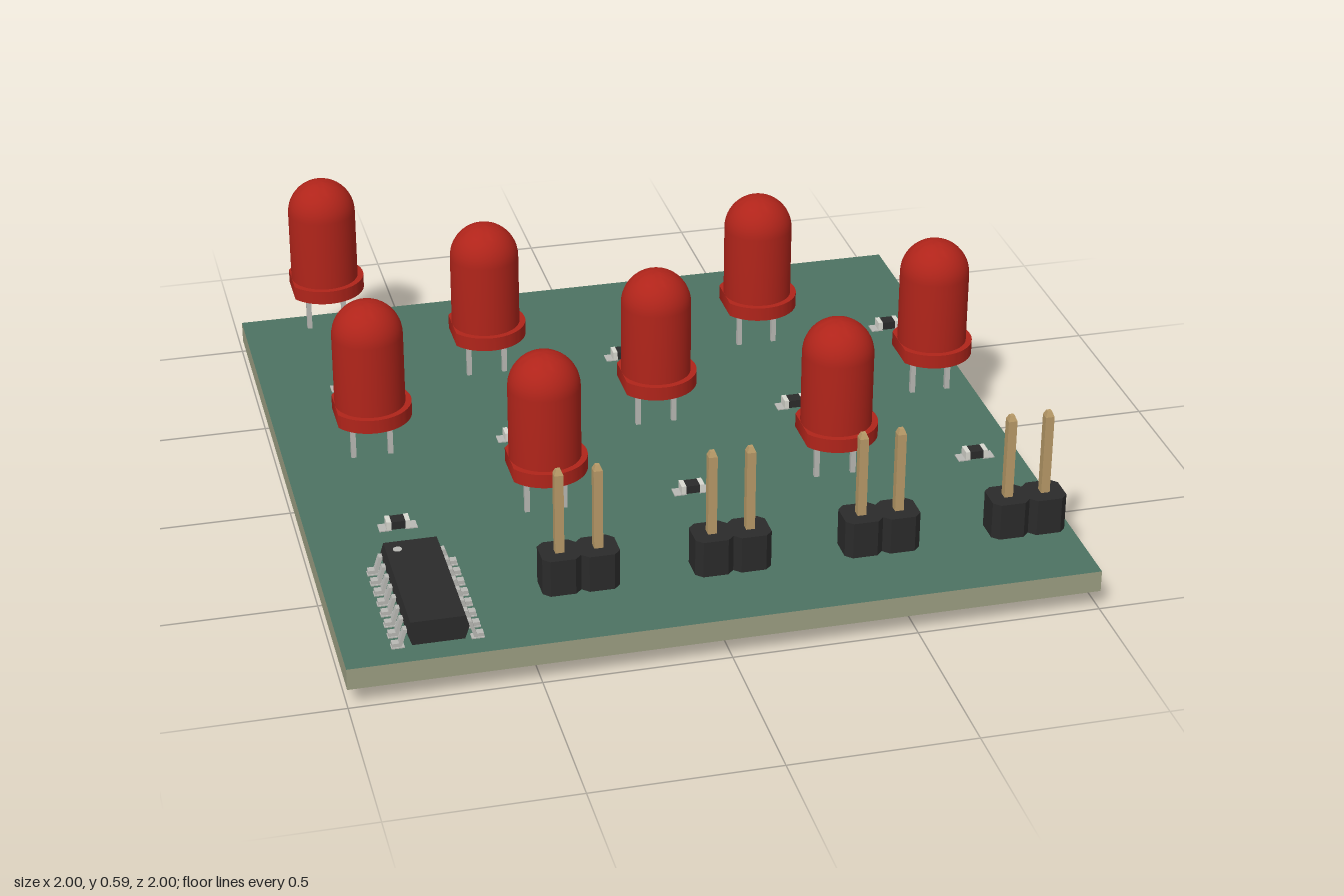
import * as THREE from 'three';
import { toCreasedNormals } from 'three/addons/utils/BufferGeometryUtils.js';

const mat = (color, side = THREE.FrontSide) => new THREE.MeshStandardMaterial({ color, side });
const M = {
  mask: mat(0x4d7362), core: mat(0x9c9e82), red: mat(0xb0241a), black: mat(0x2b2b2b),
  silver: mat(0xb8b8b4), gold: mat(0xb89a68), white: mat(0xd8d8d0),
};
const TOP = 0.12; // upper face of the board
const PITCH = 0.407;
const col = (i) => -0.754 + PITCH * i;
const row = (j) => -0.885 + PITCH * j;

function add(parent, name, geometry, material, x = 0, y = 0, z = 0) {
  const mesh = new THREE.Mesh(geometry, material);
  mesh.name = name;
  mesh.position.set(x, y, z);
  parent.add(mesh);
  return mesh;
}
const box = (w, h, d) => new THREE.BoxGeometry(w, h, d);
const shape = (pts) => new THREE.Shape(pts.map(([x, y]) => new THREE.Vector2(x, y)));
const extrude = (s, depth) => new THREE.ExtrudeGeometry(s, { depth, bevelEnabled: false, curveSegments: 32 });

function group(parent, name, x, z) {
  const g = new THREE.Group();
  g.name = name;
  g.position.set(x, 0, z);
  parent.add(g);
  return g;
}

// Domed bulb profile, revolved round y
function bulbGeometry() {
  const pts = [new THREE.Vector2(0, 0.25), new THREE.Vector2(0.098, 0.25), new THREE.Vector2(0.098, 0.498)];
  for (let i = 1; i <= 12; i++) {
    const a = (i / 12) * Math.PI / 2;
    pts.push(new THREE.Vector2(i === 12 ? 0 : 0.098 * Math.cos(a), 0.498 + 0.098 * Math.sin(a)));
  }
  return toCreasedNormals(new THREE.LatheGeometry(pts, 40), 0.7);
}

// Round flange with a flat on the -x side
function flangeGeometry() {
  const a = Math.acos(-0.098 / 0.115);
  const s = new THREE.Shape();
  s.absarc(0, 0, 0.115, -a, a, false);
  s.closePath();
  return toCreasedNormals(extrude(s, 0.04).rotateX(-Math.PI / 2), 0.6);
}

// Square pin with tapered ends
function pinGeometry() {
  const g = new THREE.CylinderGeometry(1, 1, 1, 4, 3).rotateY(Math.PI / 4).toNonIndexed();
  const ys = [0.005, 0.018, 0.458, 0.473];
  const p = g.attributes.position;
  for (let i = 0; i < p.count; i++) {
    const k = Math.round((p.getY(i) + 0.5) * 3);
    const r = (k === 0 || k === 3 ? 0.006 : 0.012) * Math.SQRT2;
    p.setXYZ(i, p.getX(i) * r, ys[k], p.getZ(i) * r);
  }
  g.computeVertexNormals();
  return g;
}

// Octagonal housing block for one pin
function housingGeometry() {
  const w = 0.0515, c = 0.018;
  return extrude(shape([[w, -w + c], [w, w - c], [w - c, w], [-w + c, w],
    [-w, w - c], [-w, -w + c], [-w + c, -w], [w - c, -w]]), 0.104).rotateX(-Math.PI / 2);
}

// Gull-wing lead, pointing to +x
function leadGeometry() {
  const s = shape([[0.07, 0.172], [0.088, 0.172], [0.1, 0.134], [0.118, 0.134],
    [0.118, 0.124], [0.093, 0.124], [0.081, 0.162], [0.07, 0.162]].reverse());
  return extrude(s, 0.02).translate(0, 0, -0.01);
}

export function createModel() {
  const model = new THREE.Group();
  model.name = 'ledCircuitBoard';

  // Board: bare edges, coated top and underside
  const e = M.core, m = M.mask;
  add(model, 'board', box(2, 0.06, 1.963), [e, e, m, m, e, e], 0, 0.09, 0.0185);

  // Lamps and resistors alternate over the grid
  const bulb = bulbGeometry(), flange = flangeGeometry(), leg = box(0.014, 0.235, 0.014);
  const lampCells = [[0, 0], [1, 1], [3, 1], [0, 2], [2, 2], [4, 2], [1, 3], [3, 3]];
  for (const [i, j] of lampCells) {
    const lamp = group(model, 'lamp', col(i), row(j));
    add(lamp, 'bulb', bulb, M.red);
    add(lamp, 'flange', flange, M.red, 0, 0.249, 0);
    for (const s of [-1, 1]) add(lamp, 'lampLeg', leg, M.silver, s * 0.052, 0.1425, 0);
  }

  const pad = box(0.034, 0.003, 0.038), cap = box(0.013, 0.024, 0.038), chip = box(0.038, 0.023, 0.037);
  const resistorCells = [[0, 1], [2, 1], [4, 1], [1, 2], [3, 2], [0, 3], [2, 3], [4, 3]];
  for (const [i, j] of resistorCells) {
    const r = group(model, 'resistor', col(i), row(j));
    add(r, 'resistorBody', chip, M.black, 0, 0.1345, 0);
    for (const s of [-1, 1]) {
      add(r, 'solderPad', pad, M.silver, s * 0.035, TOP + 0.0015, 0);
      add(r, 'endCap', cap, M.white, s * 0.0255, 0.135, 0);
    }
  }

  // Two-pin headers along the front
  const housing = housingGeometry(), pin = pinGeometry();
  for (let i = 1; i <= 4; i++) {
    const h = group(model, 'pinHeader', col(i), 0.741);
    for (const s of [-1, 1]) {
      add(h, 'headerHousing', housing, M.black, s * 0.0515, 0.126, 0);
      add(h, 'headerPin', pin, M.gold, s * 0.0515, 0, 0);
    }
  }

  // Integrated circuit with eight leads per side
  const ic = group(model, 'integratedCircuit', col(0), 0.741);
  const section = shape([[-0.068, 0.13], [0.068, 0.13], [0.079, 0.162], [0.079, 0.17],
    [0.071, 0.197], [-0.071, 0.197], [-0.079, 0.17], [-0.079, 0.162]]);
  add(ic, 'circuitBody', extrude(section, 0.402), M.black, 0, 0, -0.201);
  add(ic, 'pinOneMark', new THREE.CylinderGeometry(0.012, 0.012, 0.002, 20), M.silver, -0.04, 0.1975, -0.16);
  const lead = leadGeometry(), leadPad = box(0.034, 0.003, 0.024);
  for (let k = 0; k < 8; k++) {
    const z = (k - 3.5) * 0.052;
    for (const s of [-1, 1]) {
      add(ic, 'circuitLead', lead, M.silver, 0, 0, z).rotation.y = s < 0 ? Math.PI : 0;
      add(ic, 'leadPad', leadPad, M.silver, s * 0.103, TOP + 0.0015, z);
    }
  }

  return model;
}
